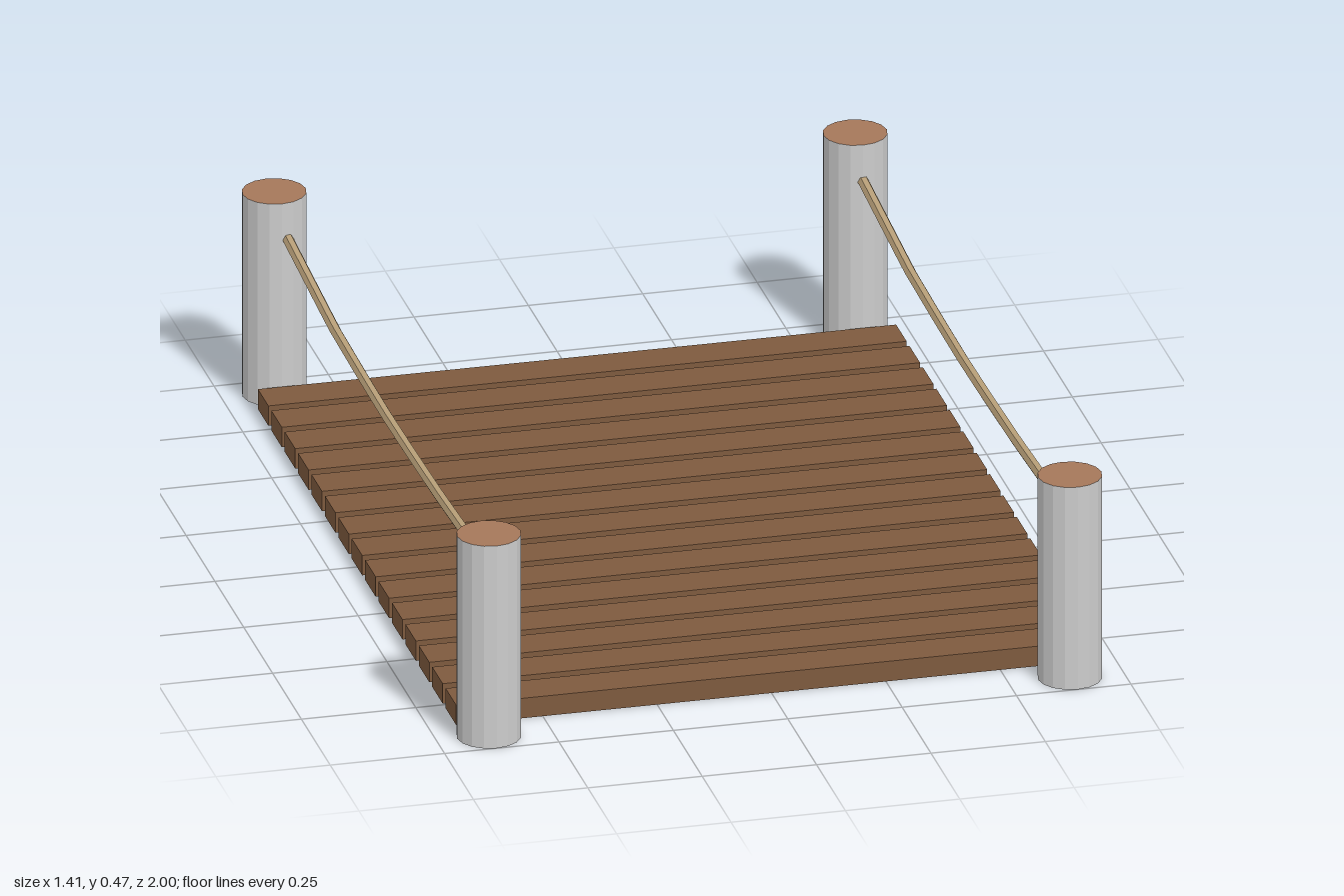
import * as THREE from 'three';

const material = (color) => new THREE.MeshStandardMaterial({ color, flatShading: true });

export function createModel() {
  const model = new THREE.Group();
  const bark = material(0xcccccc);
  const cutWood = material(0xa5775a);
  const plankWood = material(0x7e5a3e);
  const ropeFibre = material(0xb89f78);

  const add = (name, geometry, mat, x, y, z) => {
    const mesh = new THREE.Mesh(geometry, mat);
    mesh.name = name;
    mesh.position.set(x, y, z);
    model.add(mesh);
    return mesh;
  };

  // Four corner posts with cut-wood ends
  const postGeometry = new THREE.CylinderGeometry(0.069, 0.069, 0.468, 16);
  for (const x of [-0.636, 0.634]) {
    for (const z of [-0.931, 0.931]) {
      add('post', postGeometry, [bark, cutWood, cutWood], x, 0.234, z);
    }
  }

  // Deck of evenly spaced planks
  const plankCount = 15;
  const plankGeometry = new THREE.BoxGeometry(1.395, 0.046, 0.091);
  for (let i = 0; i < plankCount; i++) {
    const z = (i - (plankCount - 1) / 2) * 0.1163;
    add('plank', plankGeometry, plankWood, 0.008, 0.023, z);
  }

  // Sagging hand ropes: straight segments between a few points
  const railPath = new THREE.CurvePath();
  const railPoints = [
    [0.369, 0.9], [0.348, 0.46], [0.341, 0.2], [0.338, 0], [0.34, -0.2], [0.346, -0.46], [0.386, -0.9],
  ].map(([y, z]) => new THREE.Vector3(0, y, z));
  for (let i = 1; i < railPoints.length; i++) {
    railPath.add(new THREE.LineCurve3(railPoints[i - 1], railPoints[i]));
  }
  const railGeometry = new THREE.TubeGeometry(railPath, 24, 0.0125, 6);

  // Flattened carrier ropes threaded through the planks
  const carrierGeometry = new THREE.CylinderGeometry(0.02, 0.02, 1.74, 6);
  carrierGeometry.rotateX(Math.PI / 2).scale(1, 0.4, 1);

  for (const [railX, carrierX] of [[-0.622, -0.603], [0.635, 0.615]]) {
    add('handRope', railGeometry, ropeFibre, railX, 0, 0);
    add('carrierRope', carrierGeometry, ropeFibre, carrierX, 0.026, 0);
  }

  return model;
}
